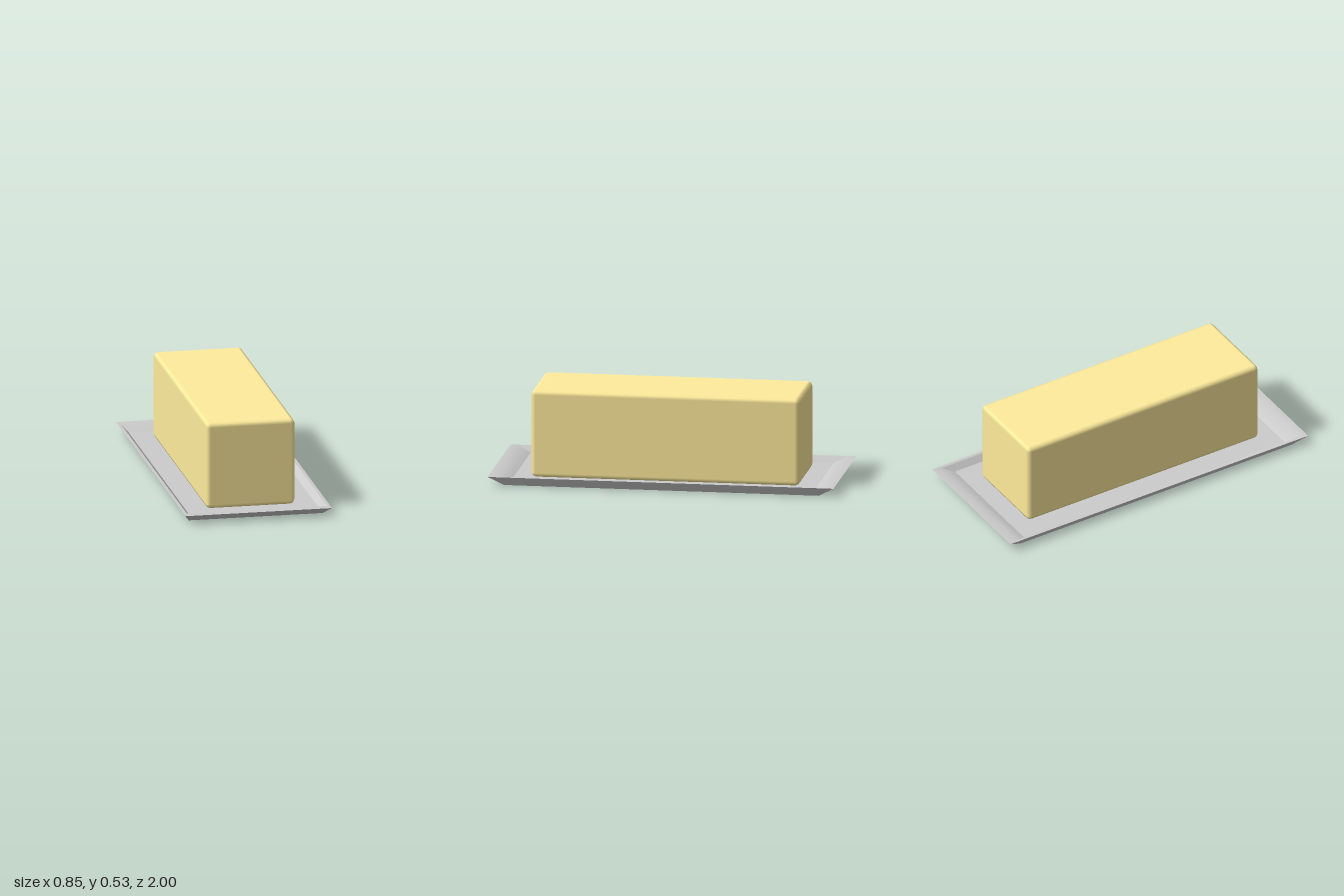
import * as THREE from 'three';
import { toCreasedNormals } from 'three/addons/utils/BufferGeometryUtils.js';
import { RoundedBoxGeometry } from 'three/addons/geometries/RoundedBoxGeometry.js';

// Rectangular rings [half width, y, half length] from the underside, over the rim, down to the floor
const RINGS = [
  [0.39, 0, 0.91],
  [0.427, 0.052, 1],
  [0.408, 0.052, 0.95],
  [0.377, 0.02, 0.876],
];

const corners = ([x, y, z]) => [[x, y, z], [x, y, -z], [-x, y, -z], [-x, y, z]];

function quadGeometry(quads) {
  const pos = [];
  for (const [a, b, c, d] of quads) pos.push(...a, ...b, ...c, ...a, ...c, ...d);
  const geometry = new THREE.BufferGeometry();
  geometry.setAttribute('position', new THREE.Float32BufferAttribute(pos, 3));
  geometry.computeVertexNormals();
  return geometry;
}

function addMesh(group, name, geometry, material) {
  const mesh = new THREE.Mesh(geometry, material);
  mesh.name = name;
  group.add(mesh);
  return mesh;
}

export function createModel() {
  const group = new THREE.Group();
  group.name = 'butterDish';
  const grey = new THREE.MeshStandardMaterial({ color: 0xcccccc });
  const yellow = new THREE.MeshStandardMaterial({ color: 0xffec9c });

  // Sloping sides and rim of the tray
  const sides = [];
  for (let r = 0; r < RINGS.length - 1; r++) {
    const lower = corners(RINGS[r]);
    const upper = corners(RINGS[r + 1]);
    for (let i = 0; i < 4; i++) {
      const j = (i + 1) % 4;
      sides.push([lower[i], lower[j], upper[j], upper[i]]);
    }
  }
  addMesh(group, 'trayRim', toCreasedNormals(quadGeometry(sides), 0.52), grey);

  // Flat floor and underside
  addMesh(group, 'trayFloor', quadGeometry([corners(RINGS[3])]), grey);
  addMesh(group, 'trayUnderside', quadGeometry([corners(RINGS[0]).reverse()]), grey);

  // Butter block with softly bevelled edges, resting on the floor
  const butter = addMesh(group, 'butter', new RoundedBoxGeometry(0.516, 0.507, 1.55, 1, 0.025), yellow);
  butter.position.y = 0.02 + 0.507 / 2;

  return group;
}
